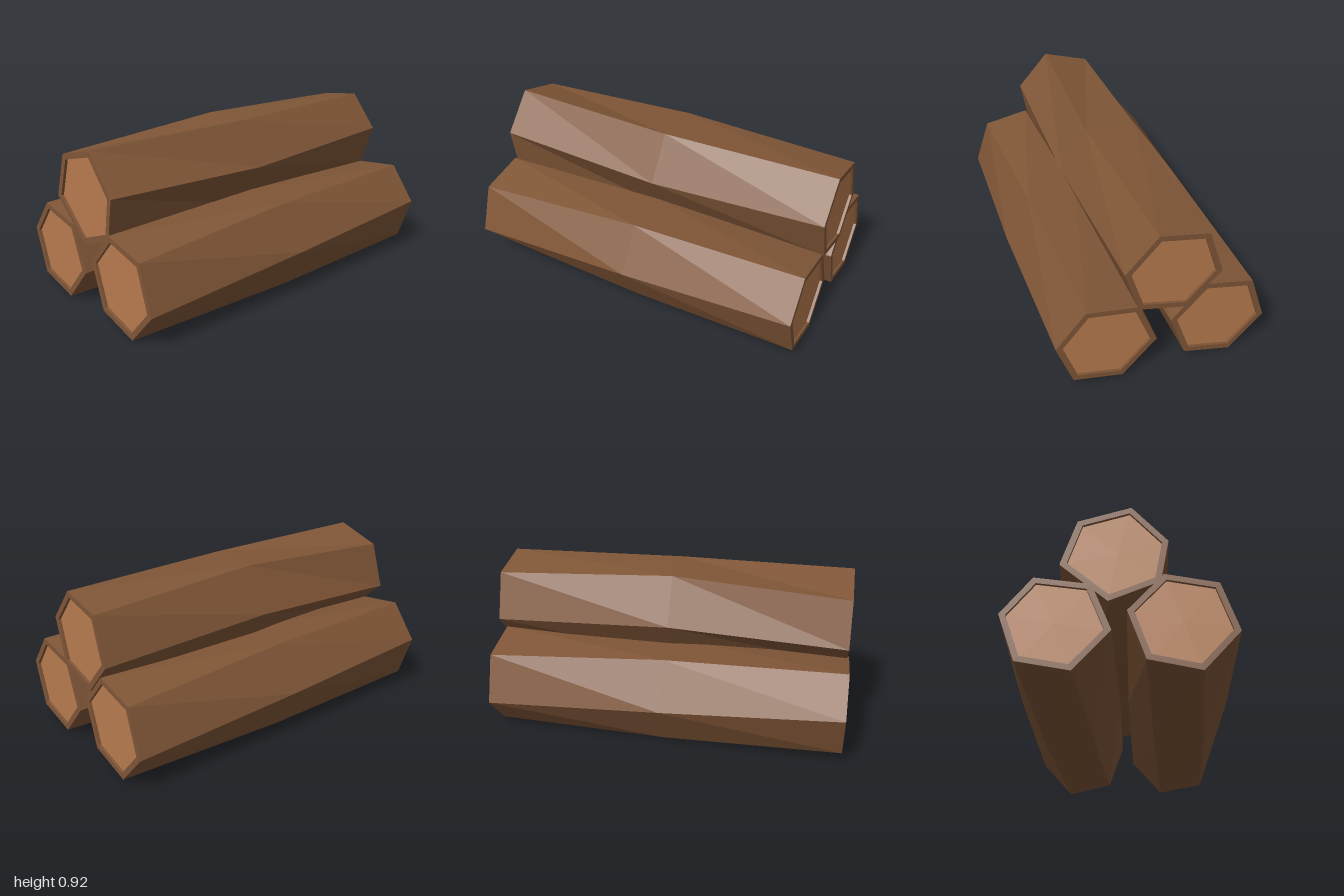
import * as THREE from 'three';

const bark = new THREE.MeshStandardMaterial({ color: 0x805637, flatShading: true });
const wood = new THREE.MeshStandardMaterial({ color: 0xb87c4f, flatShading: true });

const RIM = 0.87;     // cut face size relative to the log end
const RECESS = 0.015; // depth of the cut face behind the bark rim

// Hexagonal sections as [z, y], listed from the top towards -z
const lowerSections = [
  [[0.49, 0.468], [0.22, 0.522], [0.039, 0.323], [0.13, 0.062], [0.396, 0.002], [0.578, 0.205]],
  [[0.453, 0.515], [0.17, 0.515], [0.024, 0.262], [0.17, 0.013], [0.455, 0.015], [0.599, 0.266]],
  [[0.418, 0.512], [0.133, 0.47], [0.034, 0.217], [0.22, 0.008], [0.49, 0.06], [0.577, 0.312]],
];
const upperSections = [
  [[0.063, 0.925], [-0.21, 0.845], [-0.295, 0.59], [-0.053, 0.38], [0.205, 0.487], [0.247, 0.72]],
  [[0.095, 0.915], [-0.193, 0.905], [-0.327, 0.651], [-0.18, 0.405], [0.108, 0.418], [0.248, 0.672]],
  [[0.052, 0.908], [-0.214, 0.86], [-0.3, 0.603], [-0.12, 0.407], [0.143, 0.465], [0.223, 0.712]],
];

const ring = (section, x) => section.map(([z, y]) => new THREE.Vector3(x, y, z));

const centreOf = (points) =>
  points.reduce((sum, p) => sum.add(p), new THREE.Vector3()).divideScalar(points.length);

// Shrinks a ring towards its centre and slides it along x
function inset(points, dx) {
  const c = centreOf(points);
  return points.map((p) => p.clone().lerp(c, 1 - RIM).add(new THREE.Vector3(dx, 0, 0)));
}

function meshFrom(triangles, material, name) {
  const geometry = new THREE.BufferGeometry().setFromPoints(triangles);
  geometry.computeVertexNormals();
  const mesh = new THREE.Mesh(geometry, material);
  mesh.name = name;
  return mesh;
}

// Joins successive rings with quads
function loft(rings) {
  const triangles = [];
  for (let k = 0; k < rings.length - 1; k++) {
    const a = rings[k], b = rings[k + 1];
    for (let i = 0; i < a.length; i++) {
      const j = (i + 1) % a.length;
      triangles.push(a[i], b[i], a[j], b[i], b[j], a[j]);
    }
  }
  return triangles;
}

function fan(points, facesPlusX) {
  const c = centreOf(points);
  return points.flatMap((p, i) => {
    const q = points[(i + 1) % points.length];
    return facesPlusX ? [c, q, p] : [c, p, q];
  });
}

function makeLog(name, sections, xStart, xEnd) {
  const start = ring(sections[0], xStart);
  const middle = ring(sections[1], 0);
  const end = ring(sections[2], xEnd);
  const startFace = inset(start, RECESS);
  const endFace = inset(end, -RECESS);

  const log = new THREE.Group();
  log.name = name;
  log.add(
    // Bark wraps around both rims into the shallow recesses
    meshFrom(loft([startFace, inset(start, 0), start, middle, end, inset(end, 0), endFace]), bark, 'bark'),
    meshFrom(fan(startFace, false), wood, 'rightCutFace'),
    meshFrom(fan(endFace, true), wood, 'leftCutFace'),
  );
  return log;
}

export function createModel() {
  const model = new THREE.Group();
  model.name = 'logPile';
  const front = makeLog('frontLog', lowerSections, -1, 0.99);
  // The back log is the front log turned half way round
  const back = makeLog('backLog', lowerSections, -0.99, 1);
  back.rotation.y = Math.PI;
  const top = makeLog('topLog', upperSections, -0.99, 1);
  model.add(front, back, top);
  return model;
}
